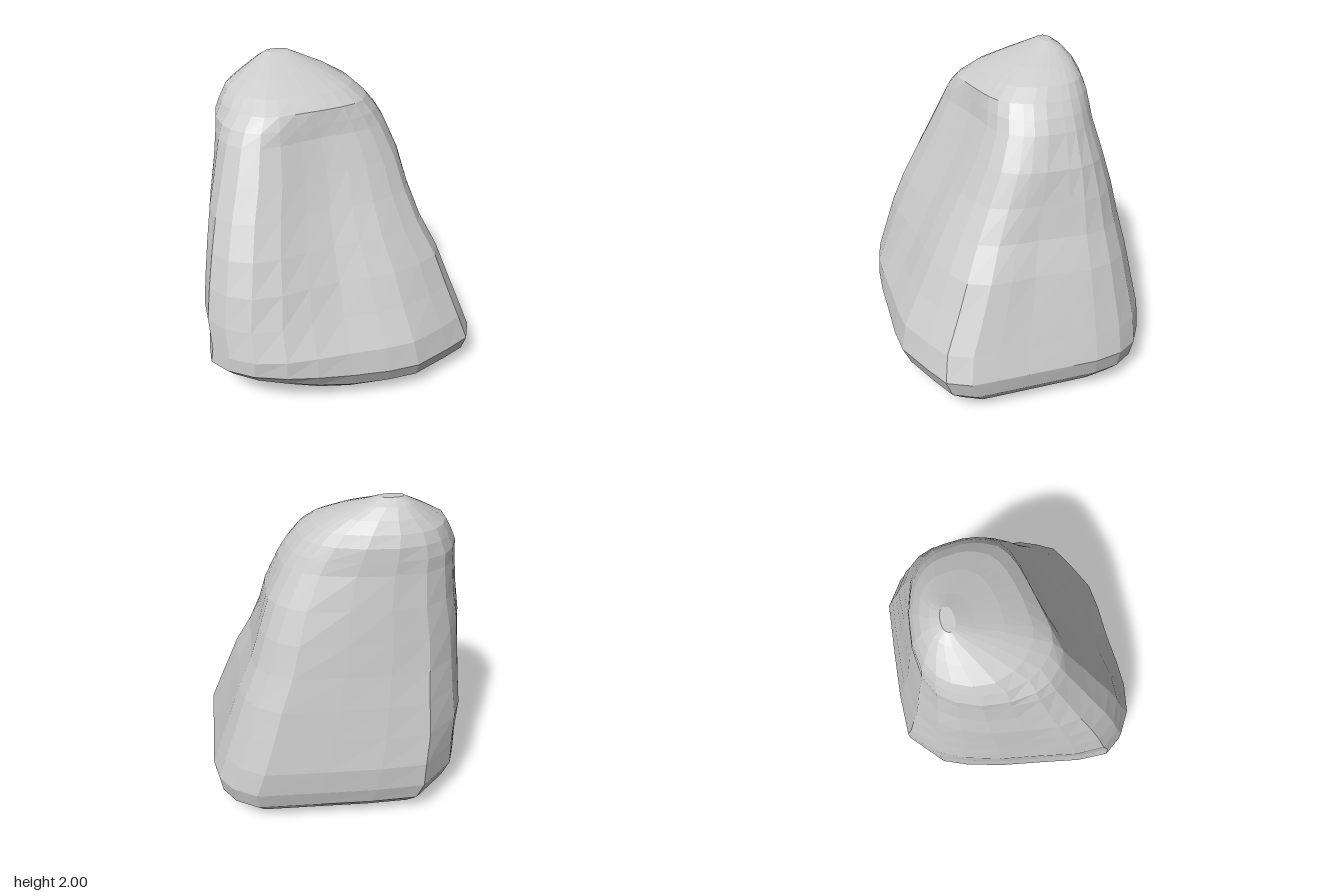
import * as THREE from 'three';

// Plan outlines [x, z], matched point for point: broad foot and narrow shoulder
const FOOT = [
  [.89, -.2], [.89, .1], [.89, .3], [.89, .47], [.82, .61], [.65, .69], [.4, .8], [.2, .81], [-.05, .8],
  [-.28, .79], [-.47, .76], [-.66, .7], [-.8, .61], [-.88, .5], [-.86, .3], [-.8, .05], [-.75, -.2],
  [-.69, -.44], [-.63, -.6], [-.4, -.81], [-.1, -.8], [.25, -.77], [.64, -.74], [.78, -.65], [.86, -.52], [.89, -.35],
];
const SHOULDER = [
  [.33, -.28], [.31, -.16], [.3, -.08], [.28, -.02], [.24, .06], [.17, .11], [.08, .14], [-.02, .16], [-.12, .18],
  [-.24, .22], [-.36, .27], [-.48, .29], [-.58, .25], [-.65, .16], [-.68, .05], [-.67, -.12], [-.65, -.28],
  [-.6, -.42], [-.53, -.52], [-.42, -.58], [-.25, -.6], [-.05, -.6], [.17, -.58], [.27, -.52], [.32, -.45], [.34, -.36],
];

// Extents of the stone at each height: [y, left, right, back, front]
const LEVELS = [
  [0, -.66, .72, -.6, .54],
  [.05, -.75, .8, -.71, .67],
  [.13, -.83, .865, -.785, .76],
  [.24, -.885, .885, -.81, .81],
  [.4, -.87, .83, -.81, .79],
  [.6, -.88, .76, -.775, .71],
  [.8, -.855, .69, -.74, .635],
  [1, -.825, .605, -.7, .55],
  [1.2, -.79, .545, -.67, .455],
  [1.4, -.74, .485, -.64, .36],
  [1.6, -.695, .4, -.605, .265],
  [1.68, -.685, .35, -.6, .23],
  [1.76, -.645, .285, -.592, .185],
  [1.83, -.6, .205, -.565, .08],
  [1.9, -.49, .07, -.525, -.07],
  [1.96, -.39, -.08, -.47, -.23],
  [2, -.32, -.17, -.41, -.33],
];

// Worn or bulging corners: [x side, z side, amount, height, spread]
const CORNERS = [
  [-1, 1, -.25, 1.85, .2],
  [1, -1, -.2, 1.65, .35],
  [1, 1, .08, .85, .3],
  [-1, 1, .06, .9, .35],
];

// Scale an outline so that it fills -1..1 in both directions
function unitOutline(points) {
  const box = new THREE.Box2().setFromPoints(points.map(([x, z]) => new THREE.Vector2(x, z)));
  const size = box.getSize(new THREE.Vector2());
  return points.map(([x, z]) => [2 * (x - box.min.x) / size.x - 1, 2 * (z - box.min.y) / size.y - 1]);
}

// Cross-section shape: foot to shoulder, rounded towards the crown
function sectionOutline(foot, shoulder, y) {
  const t = Math.min(y / 1.7, 1);
  const round = THREE.MathUtils.clamp((y - 1.65) / .35, 0, 1) * .6;
  return unitOutline(foot.map(([fx, fz], j) => {
    const p = new THREE.Vector2(fx, fz).lerp(new THREE.Vector2(...shoulder[j]), t);
    p.lerp(p.clone().normalize(), round);
    let scale = 1;
    for (const [sx, sz, amount, height, spread] of CORNERS) {
      const nearCorner = Math.max(0, sx * p.x) * Math.max(0, sz * p.y);
      scale += amount * nearCorner * Math.exp(-(((y - height) / spread) ** 2));
    }
    return p.multiplyScalar(scale).toArray();
  }));
}

function stoneGeometry() {
  const foot = unitOutline(FOOT), shoulder = unitOutline(SHOULDER);
  const n = foot.length, positions = [], index = [];

  // The underside rises towards the front right-hand corner
  const addPoint = (x, y, z) => {
    const lift = .25 * Math.max(0, z - x - .75) * Math.max(0, 1 - y / .45);
    positions.push(x, y + lift, z);
  };

  // Stacked cross-sections
  for (const [y, x0, x1, z0, z1] of LEVELS) {
    for (const [u, v] of sectionOutline(foot, shoulder, y)) {
      addPoint((x0 + x1 + u * (x1 - x0)) / 2, y, (z0 + z1 + v * (z1 - z0)) / 2);
    }
  }
  for (let i = 0; i < LEVELS.length - 1; i++) {
    for (let j = 0; j < n; j++) {
      const a = i * n + j, b = i * n + (j + 1) % n;
      index.push(a, a + n, b, b, a + n, b + n);
    }
  }

  // Base and small crown
  const last = (LEVELS.length - 1) * n;
  for (const [start, top] of [[0, false], [last, true]]) {
    const [y, x0, x1, z0, z1] = LEVELS[start / n];
    const centre = positions.length / 3;
    addPoint((x0 + x1) / 2, y, (z0 + z1) / 2);
    for (let j = 0; j < n; j++) {
      const a = start + j, b = start + (j + 1) % n;
      index.push(centre, top ? b : a, top ? a : b);
    }
  }

  const geometry = new THREE.BufferGeometry();
  geometry.setAttribute('position', new THREE.Float32BufferAttribute(positions, 3));
  geometry.setIndex(index);
  geometry.computeVertexNormals();
  return geometry;
}

export function createModel() {
  const group = new THREE.Group();
  group.name = 'rock';
  const material = new THREE.MeshStandardMaterial({ color: 0xcccccc, flatShading: true });
  const boulder = new THREE.Mesh(stoneGeometry(), material);
  boulder.name = 'boulder';
  group.add(boulder);
  return group;
}
